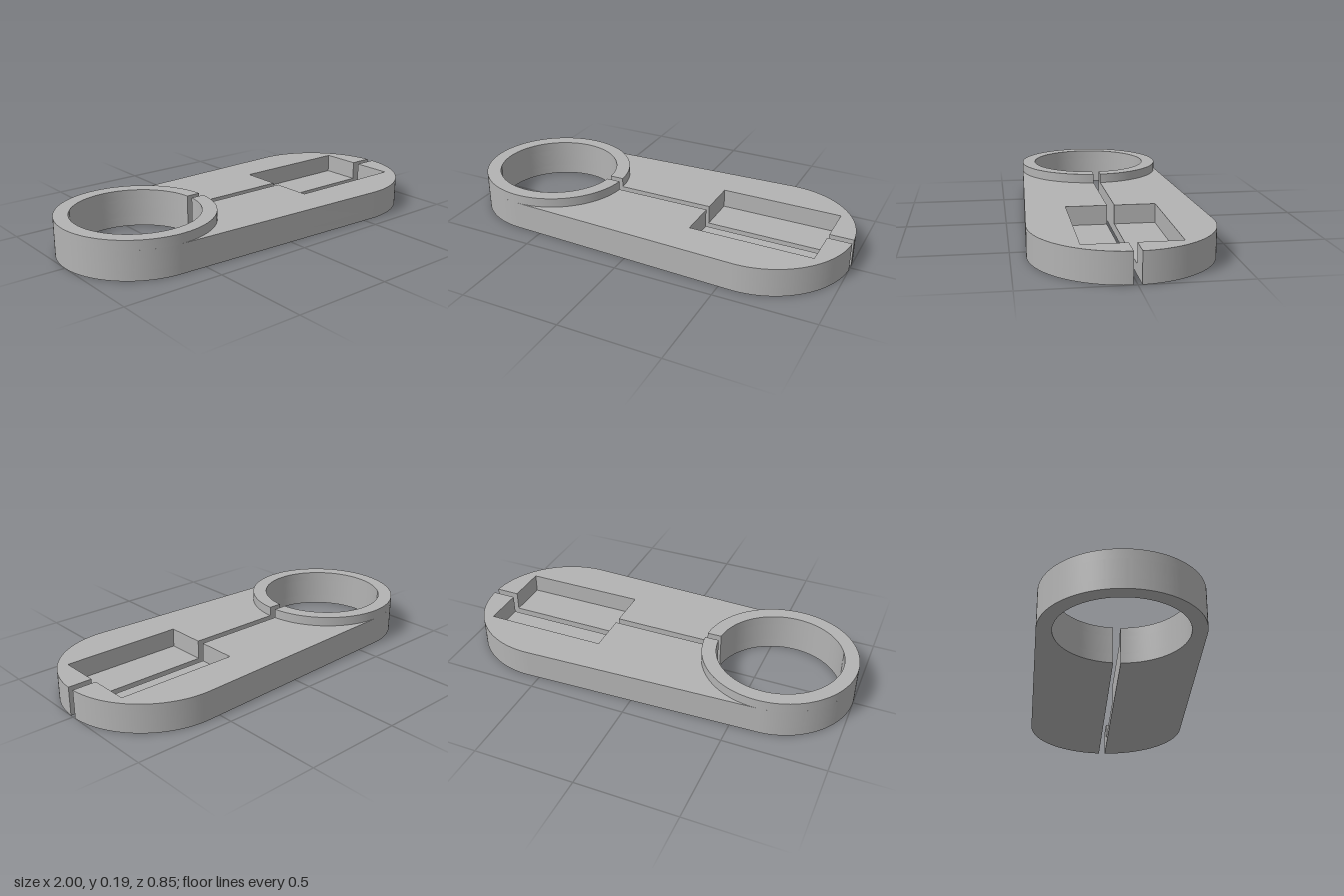
import * as THREE from 'three';
import { toCreasedNormals } from 'three/addons/utils/BufferGeometryUtils.js';

const RING_X = -0.618, RING_R = 0.382, HOLE_R = 0.311; // ring end
const END_X = 0.573, END_R = 0.427;                    // wide end
const SLOT = 0.018;                                    // half width of the slot
const POCKET = { x0: 0.26, x1: 0.88, z: 0.22 };
const FLOOR_Y = 0.048, PLATE_Y = 0.143, RING_Y = 0.19;

// Close an outline by running back around the hole from one slot side to the other
function closeAroundHole(shape) {
  const a = Math.asin(SLOT / HOLE_R);
  shape.absarc(RING_X, 0, HOLE_R, -a, -2 * Math.PI + a, true);
}

// Slotted arm: two circles joined by tangents, optionally with the pocket cut out
function armShape(withPocket) {
  const s = new THREE.Shape();
  const a = Math.asin(SLOT / END_R);
  const t = Math.acos((RING_R - END_R) / (END_X - RING_X));
  s.absarc(END_X, 0, END_R, a, t, false);
  s.absarc(RING_X, 0, RING_R, t, 2 * Math.PI - t, false);
  s.absarc(END_X, 0, END_R, -t, -a, false);
  const { x0, x1, z } = POCKET;
  if (withPocket) [[x1, -SLOT], [x1, -z], [x0, -z], [x0, -SLOT]].forEach(p => s.lineTo(...p));
  closeAroundHole(s);
  if (withPocket) [[x0, SLOT], [x0, z], [x1, z], [x1, SLOT]].forEach(p => s.lineTo(...p));
  s.closePath();
  return s;
}

// Raised split ring
function ringShape() {
  const s = new THREE.Shape();
  const a = Math.asin(SLOT / RING_R);
  s.absarc(RING_X, 0, RING_R, a, 2 * Math.PI - a, false);
  closeAroundHole(s);
  s.closePath();
  return s;
}

export function createModel() {
  const group = new THREE.Group();
  group.name = 'splitClampArm';
  const grey = new THREE.MeshStandardMaterial({ color: 0xb3b3b3 });
  grey.name = 'grey';

  // Extrude a plan outline between two heights
  const layer = (name, shape, y0, y1) => {
    const geo = new THREE.ExtrudeGeometry(shape, { depth: y1 - y0, bevelEnabled: false, curveSegments: 64 });
    geo.rotateX(-Math.PI / 2);
    geo.translate(0, y0, 0);
    const mesh = new THREE.Mesh(toCreasedNormals(geo, 0.5), grey);
    mesh.name = name;
    group.add(mesh);
  };

  layer('pocketFloor', armShape(false), 0, FLOOR_Y);
  layer('armPlate', armShape(true), FLOOR_Y, PLATE_Y);
  layer('raisedRing', ringShape(), PLATE_Y, RING_Y);
  return group;
}
